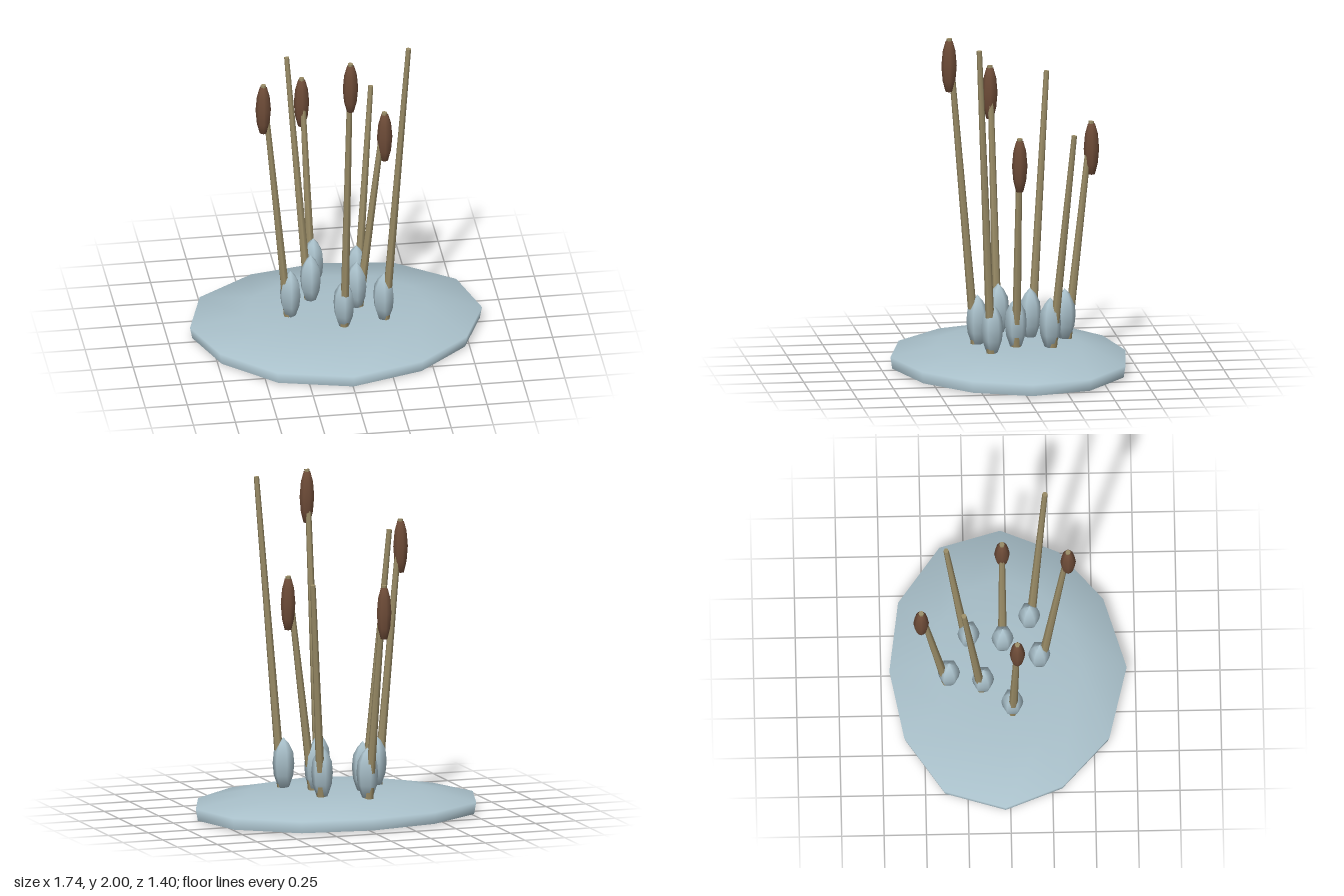
import * as THREE from 'three';

const ice = new THREE.MeshStandardMaterial({ name: 'paleIce', color: 0xa9c0ca });
const reed = new THREE.MeshStandardMaterial({ name: 'dryReed', color: 0x9c8e68 });
const brown = new THREE.MeshStandardMaterial({ name: 'seedBrown', color: 0x6e4c38 });

// uneven outline of the mound, as x, z
const outline = [
  [0, -0.7], [0.43, -0.64], [0.77, -0.39], [0.87, -0.03], [0.73, 0.31], [0.43, 0.57],
  [0, 0.7], [-0.44, 0.59], [-0.74, 0.31], [-0.87, -0.03], [-0.76, -0.39], [-0.42, -0.62],
];

// stem foot x, z; tip x, y, z; whether it carries a seed head
const stems = [
  [-0.09, -0.35, -0.135, 1.44, -0.515, true],
  [0.15, -0.23, 0.255, 1.44, -0.36, false],
  [-0.135, -0.15, -0.26, 1.725, -0.265, false],
  [-0.28, 0.02, -0.445, 1.725, 0.047, true],
  [0.12, -0.03, 0.29, 1.44, -0.03, true],
  [0.26, 0.13, 0.395, 2, 0.225, false],
  [0.015, 0.185, 0.03, 2, 0.355, true],
];

// Rings scaled from the outline, smooth over the top and flat underneath
function moundGeometry() {
  const n = outline.length;
  const rings = [[0.985, 0.01], [1, 0.08], [0.62, 0.138], [0.3, 0.15]];
  const pos = [];
  const index = [];
  const addRing = ([s, y]) => outline.forEach(([x, z]) => pos.push(x * s, y, z * s));
  rings.forEach(addRing);
  const top = pos.length / 3;
  pos.push(0, 0.152, 0);
  const under = top + 1;
  addRing(rings[0]);
  const bottom = pos.length / 3;
  pos.push(0, 0.01, 0);
  for (let i = 0; i < n; i++) {
    const j = (i + 1) % n;
    for (let r = 0; r < rings.length - 1; r++) {
      const a = r * n + i, b = r * n + j;
      index.push(b, a, a + n, b, a + n, b + n);
    }
    const last = (rings.length - 1) * n;
    index.push(last + j, last + i, top);
    index.push(bottom, under + i, under + j);
  }
  const g = new THREE.BufferGeometry();
  g.setAttribute('position', new THREE.Float32BufferAttribute(pos, 3));
  g.setIndex(index);
  g.computeVertexNormals();
  return g;
}

const lathe = (points, sides) =>
  new THREE.LatheGeometry(points.map(([r, y]) => new THREE.Vector2(r, y)), sides);

export function createModel() {
  const group = new THREE.Group();
  const add = (name, geometry, material, parent = group) => {
    const mesh = new THREE.Mesh(geometry, material);
    mesh.name = name;
    parent.add(mesh);
    return mesh;
  };

  add('mound', moundGeometry(), ice);

  const clumpGeo = lathe([[0, 0.14], [0.032, 0.145], [0.058, 0.22], [0.065, 0.29],
    [0.058, 0.36], [0.032, 0.41], [0, 0.445]], 6);
  const headGeo = lathe([[0, -0.16], [0.021, -0.155], [0.038, -0.09], [0.046, 0],
    [0.038, 0.09], [0.021, 0.15], [0, 0.155]], 8);

  for (const [x, z, tx, ty, tz, hasHead] of stems) {
    const plant = new THREE.Group();
    plant.name = 'reedPlant';
    group.add(plant);

    // leaning stem, tapering to the tip
    const foot = new THREE.Vector3(x, 0.003, z);
    const tip = new THREE.Vector3(tx, ty, tz);
    const along = tip.clone().sub(foot);
    const stem = add('stem', new THREE.CylinderGeometry(0.016, 0.028, along.length(), 6), reed, plant);
    stem.position.copy(foot).add(tip).multiplyScalar(0.5);
    stem.quaternion.setFromUnitVectors(new THREE.Vector3(0, 1, 0), along.normalize());

    // upright icy bud at the foot
    add('iceBud', clumpGeo, ice, plant).position.set(x, 0, z);

    // upright seed head just below the tip
    if (hasHead) add('seedHead', headGeo, brown, plant).position.set(tx, ty - 0.165, tz);
  }
  return group;
}
